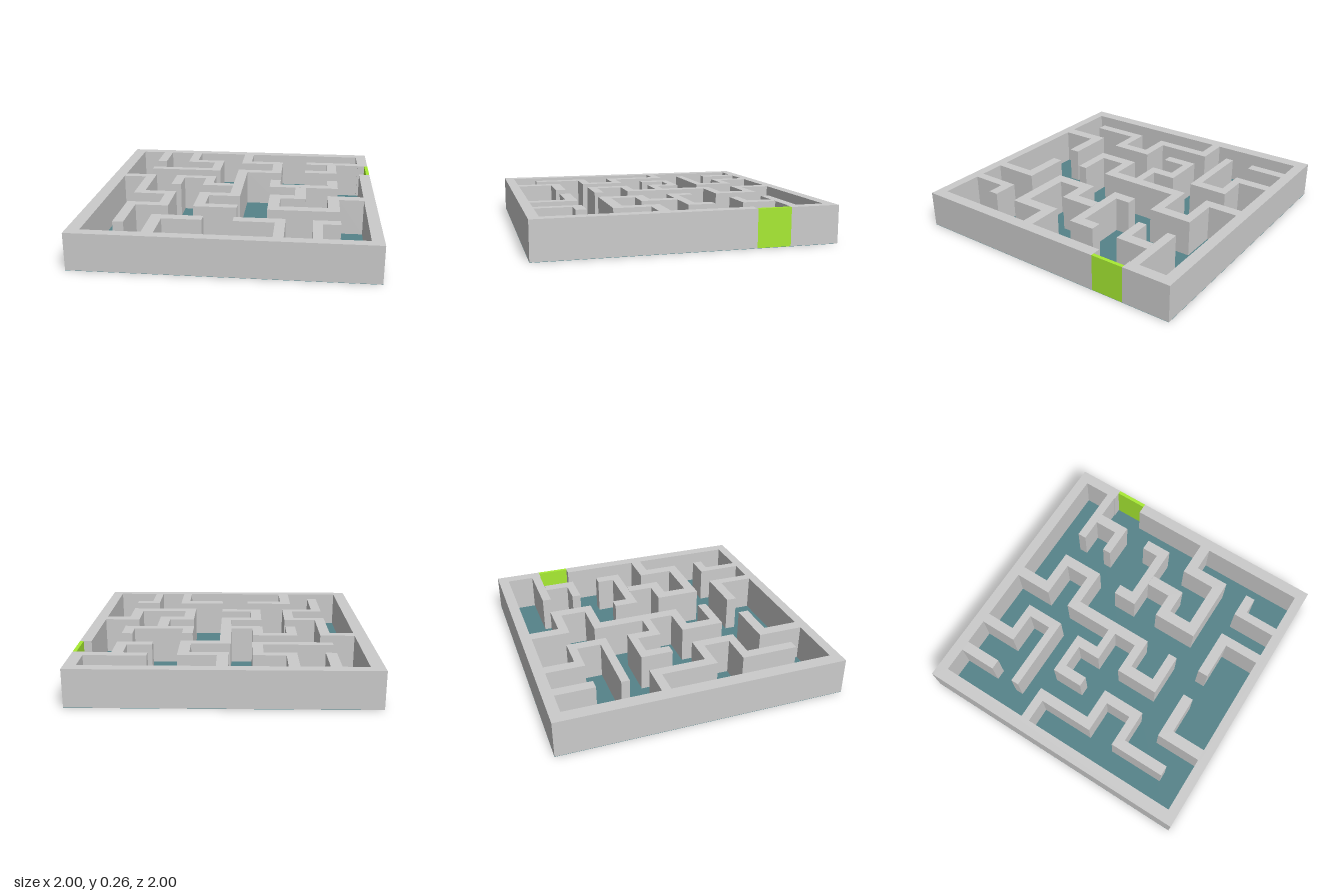
import * as THREE from 'three';

const HEIGHT = 0.257, BASE = 0.002;
const wallMat = new THREE.MeshStandardMaterial({ color: 0xcccccc });
const floorMat = new THREE.MeshStandardMaterial({ color: 0x558389, side: THREE.DoubleSide });
const gateMat = new THREE.MeshStandardMaterial({ color: 0xa8eb33 });

// Extrude a ground plan of [x, z] corners upwards to the wall height
function raise(name, corners) {
  const shape = new THREE.Shape(corners.map(([x, z]) => new THREE.Vector2(x, z)));
  const geo = new THREE.ExtrudeGeometry(shape, { depth: HEIGHT - BASE, bevelEnabled: false });
  geo.rotateX(Math.PI / 2).translate(0, HEIGHT, 0);
  const mesh = new THREE.Mesh(geo, wallMat);
  mesh.name = name;
  return mesh;
}

// Mitred outline around a right-angled path; wx is the thickness of walls
// running along z, wz the thickness of walls running along x
function ribbon(path, wx, wz) {
  const left = [], right = [];
  path.forEach(([x, z], i) => {
    let ox = 0, oz = 0;
    for (const [a, b] of [[path[i - 1], path[i]], [path[i], path[i + 1]]]) {
      if (!a || !b) continue;
      if (a[0] === b[0]) ox = -Math.sign(b[1] - a[1]) * wx / 2;
      else oz = Math.sign(b[0] - a[0]) * wz / 2;
    }
    left.push([x + ox, z + oz]);
    right.unshift([x - ox, z - oz]);
  });
  return [...left, ...right];
}

// Inner faces of the outer frame, and the gate opening in its left side
const W = -0.91, E = 0.92, N = -0.925, S = 0.93;
const GATE0 = -0.665, GATE1 = -0.435;

// Centre lines of the inner walls
const walls = [
  { path: [[-0.7, N], [-0.7, -0.655]] },
  { path: [[-0.44, N], [-0.44, -0.685], [-0.22, -0.685], [-0.22, -0.46], [-0.735, -0.46]], wz: 0.058 },
  { path: [[0.01, N], [0.01, -0.685], [0.27, -0.685], [0.27, -0.44], [0, -0.44], [0, 0.15],
    [-0.225, 0.15], [-0.225, 0.395], [0.04, 0.395]], wx: 0.077, wz: 0.065 },
  { path: [[-0.037, -0.08], [-0.23, -0.08], [-0.23, -0.247], [-0.47, -0.247], [-0.47, -0.05]], wz: 0.058 },
  { path: [[W, -0.245], [-0.705, -0.245], [-0.705, 0.15], [-0.475, 0.15], [-0.475, 0.4],
    [-0.705, 0.4], [-0.705, 0.77]] },
  { path: [[-0.475, S], [-0.475, 0.645], [-0.165, 0.645]], wx: 0.08, wz: 0.075 },
  { path: [[0.35, S], [0.35, 0.645], [0.04, 0.645]], wx: 0.068, wz: 0.075 },
  { path: [[0.595, S], [0.595, 0.648], [0.745, 0.648]], wx: 0.062, wz: 0.07 },
  { path: [[E, 0.155], [0.705, 0.155], [0.705, 0.405], [0.29, 0.405], [0.29, 0.16],
    [0.47, 0.16], [0.47, -0.055]], wx: 0.08, wz: 0.077 },
  { path: [[0.275, -0.23], [0.275, -0.09], [0.705, -0.09], [0.705, -0.245]], wx: 0.077, wz: 0.067 },
  { path: [[E, -0.702], [0.505, -0.702]] },
  { path: [[0.705, -0.67], [0.705, -0.47], [0.495, -0.47]], wx: 0.077 },
];

export function createModel() {
  const model = new THREE.Group();
  model.name = 'maze';

  // Thin floor sheet under everything
  const floor = new THREE.Mesh(new THREE.PlaneGeometry(2, 2).rotateX(-Math.PI / 2), floorMat);
  floor.name = 'floor';
  model.add(floor);

  // Outer frame, broken by the gate opening
  model.add(raise('outerWall', [
    [1, GATE0], [1, -1], [-1, -1], [-1, 1], [1, 1], [1, GATE1],
    [E, GATE1], [E, S], [W, S], [W, N], [E, N], [E, GATE0],
  ]));

  // Inner walls
  const inner = new THREE.Group();
  inner.name = 'innerWalls';
  walls.forEach(({ path, wx = 0.073, wz = 0.063 }, i) =>
    inner.add(raise(`innerWall${i + 1}`, ribbon(path, wx, wz))));
  model.add(inner);

  // Coloured gate panel, flush with the outside
  const gate = new THREE.Mesh(new THREE.BoxGeometry(0.025, HEIGHT - BASE, GATE1 - GATE0), gateMat);
  gate.position.set(0.9875, (HEIGHT + BASE) / 2, (GATE0 + GATE1) / 2);
  gate.name = 'gate';
  model.add(gate);

  return model;
}
